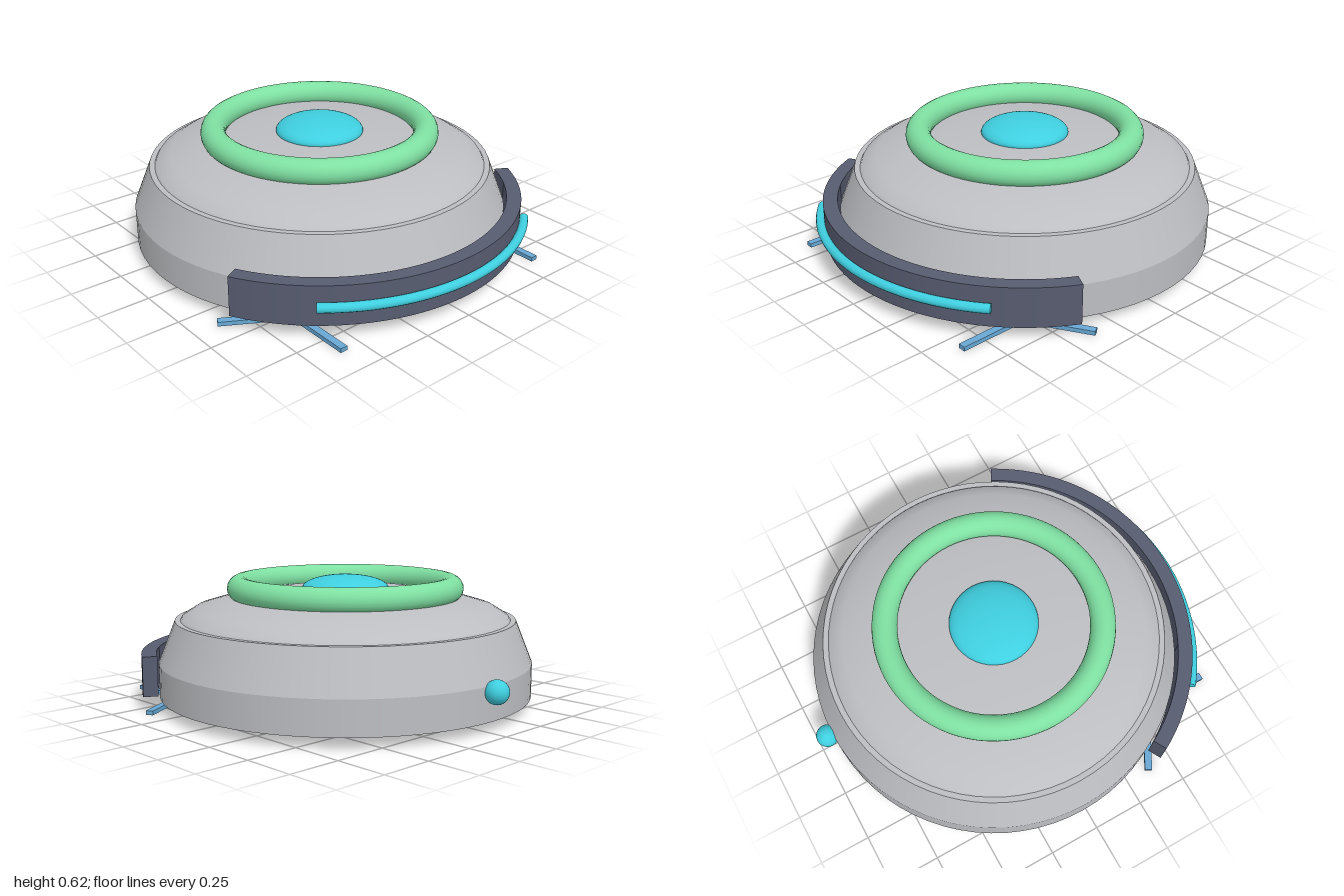
import * as THREE from 'three';

const CX = -0.02; // centre of the round body

const mat = (name, color, side = THREE.FrontSide) => {
  const m = new THREE.MeshStandardMaterial({ color, side });
  m.name = name;
  return m;
};

function part(parent, name, geometry, material, x = 0, y = 0, z = 0) {
  const mesh = new THREE.Mesh(geometry, material);
  mesh.name = name;
  mesh.position.set(x, y, z);
  parent.add(mesh);
  return mesh;
}

// Curved wall: a ring sector from -angle to +angle around +x, standing on y = 0
function arcWall(inner, outer, angle, height) {
  const shape = new THREE.Shape();
  shape.absarc(0, 0, outer, -angle, angle, false);
  shape.absarc(0, 0, inner, angle, -angle, true);
  const g = new THREE.ExtrudeGeometry(shape, { depth: height, bevelEnabled: false, curveSegments: 40 });
  return g.rotateX(-Math.PI / 2);
}

export function createModel() {
  const model = new THREE.Group();
  model.name = 'robotVacuum';

  const grey = mat('bodyGrey', 0xbdbec2);
  const green = mat('ringGreen', 0x7fe0a2);
  const cyan = mat('accentCyan', 0x3fcfe0);
  const slate = mat('bumperSlate', 0x575c70);
  const blue = mat('brushBlue', 0x68a8d4);

  // Round body: straight base, sloping shoulder, shallow dome
  part(model, 'base', new THREE.CylinderGeometry(0.9, 0.9, 0.16, 72), grey, CX, 0.13);
  part(model, 'shoulder', new THREE.CylinderGeometry(0.82, 0.9, 0.2, 72), grey, CX, 0.31);
  const dome = [[0.8, 0.4], [0.785, 0.425], [0.72, 0.465], [0.57, 0.51], [0.4, 0.533], [0.2, 0.546], [0, 0.55]];
  part(model, 'dome', new THREE.LatheGeometry(dome.map(([r, y]) => new THREE.Vector2(r, y)), 72), grey, CX);

  // Top ring and button
  const ring = part(model, 'topRing', new THREE.TorusGeometry(0.51, 0.06, 20, 80), green, CX, 0.555);
  ring.rotation.x = Math.PI / 2;
  part(model, 'button', new THREE.SphereGeometry(0.21, 40, 20).scale(1, 0.065 / 0.21, 1), cyan, CX, 0.55);

  // Side bumper with a light strip
  part(model, 'bumper', arcWall(0.91, 0.98, THREE.MathUtils.degToRad(62), 0.19), slate, CX, 0.07);
  const a = THREE.MathUtils.degToRad(40);
  const strip = new THREE.TorusGeometry(0.998, 0.022, 12, 48, 2 * a).rotateZ(-a).rotateX(Math.PI / 2);
  part(model, 'lightStrip', strip, cyan, CX, 0.167);
  for (const s of [-1, 1]) {
    const cap = part(model, 'lightStripEnd', new THREE.CircleGeometry(0.022, 12), cyan,
      CX + 0.998 * Math.cos(a), 0.167, s * 0.998 * Math.sin(a));
    cap.rotation.y = s > 0 ? -a : Math.PI + a;
  }

  // Sensor bead opposite the bumper
  part(model, 'sensor', new THREE.SphereGeometry(0.055, 24, 16), cyan, -0.945, 0.185);

  // Two three-armed sweeping brushes
  for (const s of [-1, 1]) {
    const brush = new THREE.Group();
    brush.name = 'sideBrush';
    brush.position.set(0.535, 0, s * 0.595);
    part(brush, 'hub', new THREE.CylinderGeometry(0.08, 0.08, 0.05, 28), blue, 0, 0.037);
    for (let i = 0; i < 3; i++) {
      const arm = part(brush, 'arm', new THREE.BoxGeometry(0.33, 0.02, 0.035).translate(0.165, 0, 0), blue, 0, 0.01);
      arm.rotation.y = i * 2 * Math.PI / 3;
    }
    model.add(brush);
  }
  return model;
}
